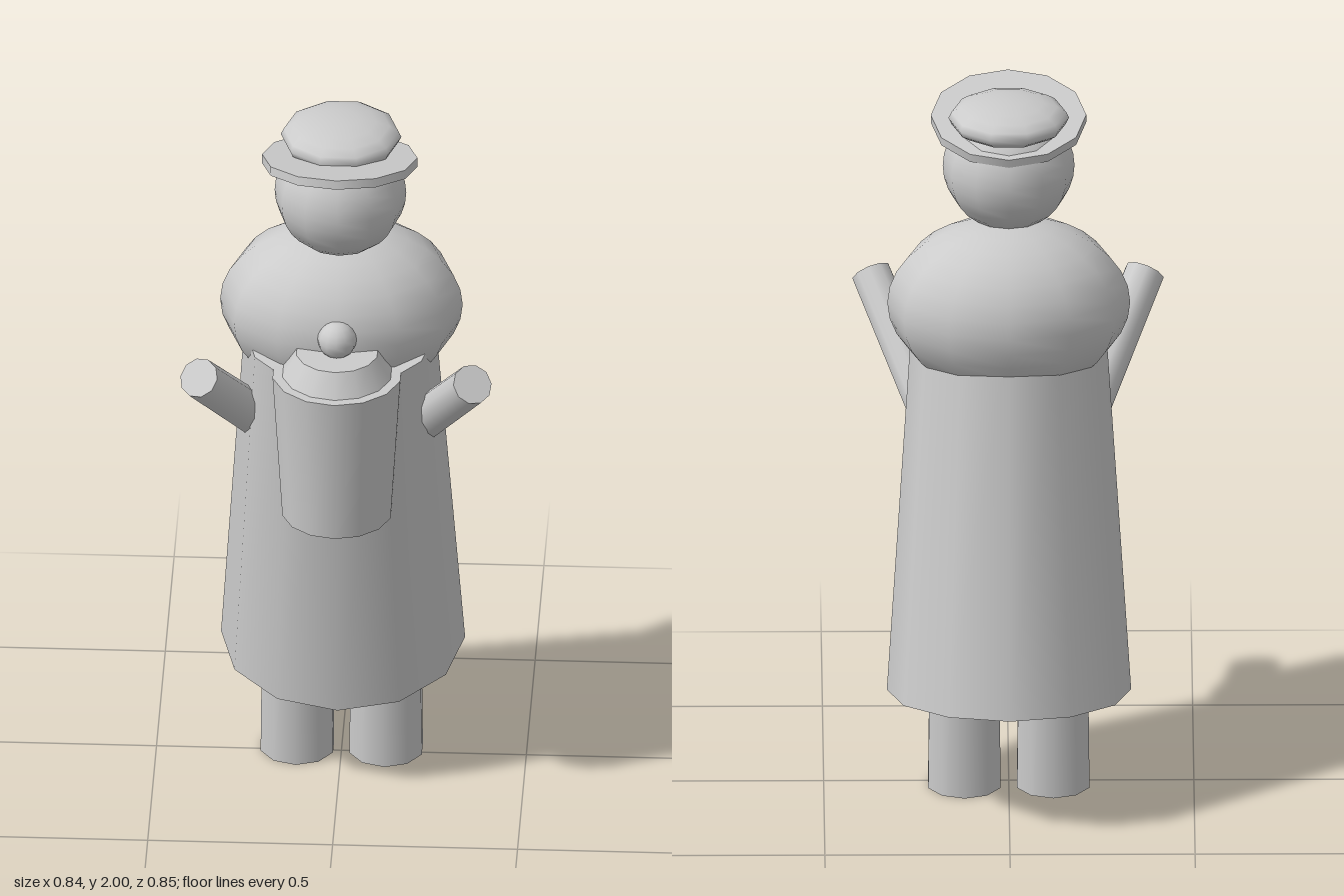
import * as THREE from 'three';

export function createModel() {
  const group = new THREE.Group();
  const material = new THREE.MeshStandardMaterial({ color: 0xcccccc });

  function add(name, geometry, x, y, z, tilt = 0) {
    const mesh = new THREE.Mesh(geometry, material);
    mesh.name = name;
    mesh.position.set(x, y, z);
    mesh.rotation.x = tilt;
    group.add(mesh);
    return mesh;
  }
  const ball = (rx, ry, rz, sides, rows) =>
    new THREE.SphereGeometry(1, sides, rows).scale(rx, ry, rz);

  // Long coat, leaning forward (origin at the hem)
  const coat = new THREE.CylinderGeometry(0.26, 0.33, 1.06, 12).translate(0, 0.53, 0);
  add('coat', coat, 0, 0.31, -0.095, 0.145);

  // Rounded shoulders and head (vertices on the x and z axes)
  add('shoulders', ball(0.328, 0.24, 0.26, 12, 16), 0, 1.41, 0);
  add('head', ball(0.178, 0.175, 0.175, 12, 16), 0, 1.79, 0.055);

  // Cap: tilted thin brim and flattened crown
  add('capBrim', new THREE.CylinderGeometry(0.21, 0.21, 0.025, 12), 0, 1.91, 0.095, -0.21);
  add('capCrown', ball(0.163, 0.055, 0.163, 10, 10), 0, 1.945, 0.021);

  // Pot with lid and knob held at the chest
  add('pot', new THREE.CylinderGeometry(0.177, 0.15, 0.435, 14), 0, 1.1175, 0.247);
  add('potLid', new THREE.CylinderGeometry(0.112, 0.15, 0.065, 14), 0, 1.3675, 0.247);
  add('lidKnob', ball(0.053, 0.053, 0.053, 12, 10), 0, 1.438, 0.247);

  // Legs and raised arms, mirrored
  const up = new THREE.Vector3(0, 1, 0);
  for (const side of [1, -1]) {
    const label = side > 0 ? 'left' : 'right';
    add(label + 'Leg', new THREE.CylinderGeometry(0.098, 0.103, 0.44, 10), side * 0.12, 0.22, -0.02);

    const start = new THREE.Vector3(side * 0.225, 1.085, 0.065);
    const end = new THREE.Vector3(side * 0.37, 1.355, 0.328);
    const along = end.clone().sub(start);
    const mid = start.clone().add(end).multiplyScalar(0.5);
    const arm = add(label + 'Arm', new THREE.CylinderGeometry(0.055, 0.057, along.length(), 10), mid.x, mid.y, mid.z);
    arm.quaternion.setFromUnitVectors(up, along.normalize());
  }
  return group;
}
